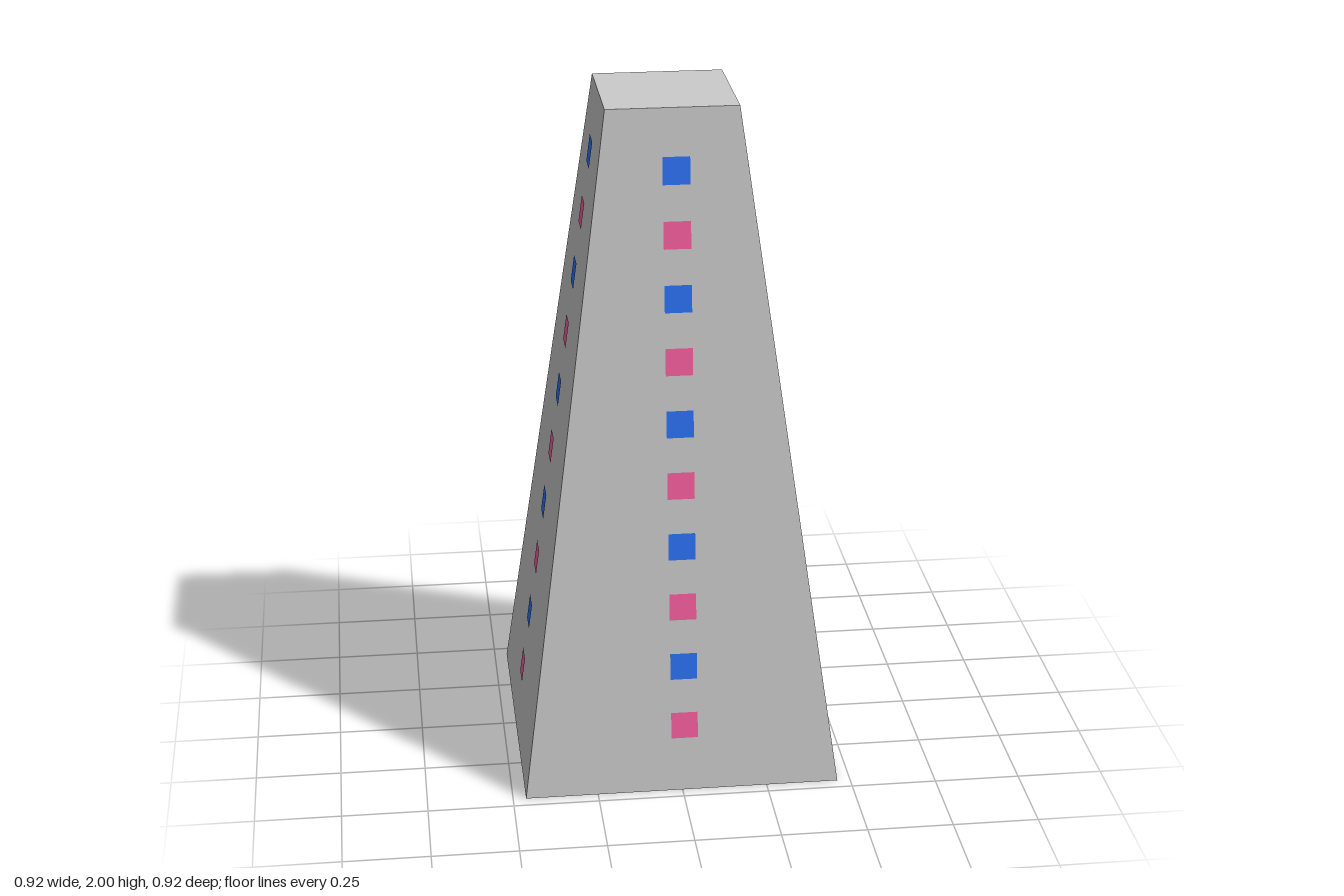
import * as THREE from 'three';

const HEIGHT = 2, BASE = 0.462, TOP = 0.189; // half widths of the tower
const slope = (BASE - TOP) / HEIGHT;

export function createModel() {
  const model = new THREE.Group();
  model.name = 'taperedTower';

  // Four-sided tapering body
  const body = new THREE.Mesh(
    new THREE.CylinderGeometry(TOP * Math.SQRT2, BASE * Math.SQRT2, HEIGHT, 4)
      .rotateY(Math.PI / 4).translate(0, HEIGHT / 2, 0),
    new THREE.MeshStandardMaterial({ color: 0xcccccc, flatShading: true })
  );
  body.name = 'towerBody';
  model.add(body);

  // Alternating square windows lying just proud of each sloping wall
  const pink = new THREE.MeshStandardMaterial({ color: 0xf75f9f, side: THREE.DoubleSide });
  const blue = new THREE.MeshStandardMaterial({ color: 0x2b72f5, side: THREE.DoubleSide });
  const pane = new THREE.PlaneGeometry(0.078, 0.079).rotateX(-Math.atan(slope));
  const walls = ['front', 'left', 'back', 'right'];
  const shifts = [0.008, -0.003, -0.008, 0.003]; // sideways shift along each wall

  walls.forEach((wall, side) => {
    const row = new THREE.Group();
    row.name = wall + 'Windows';
    row.rotation.y = side * Math.PI / 2;
    for (let i = 0; i < 10; i++) {
      const y = 0.201 + i * 0.1805;
      const win = new THREE.Mesh(pane, i % 2 ? blue : pink);
      win.name = 'window';
      win.position.set(shifts[side], y, BASE - slope * y + 0.003);
      row.add(win);
    }
    model.add(row);
  });

  return model;
}
